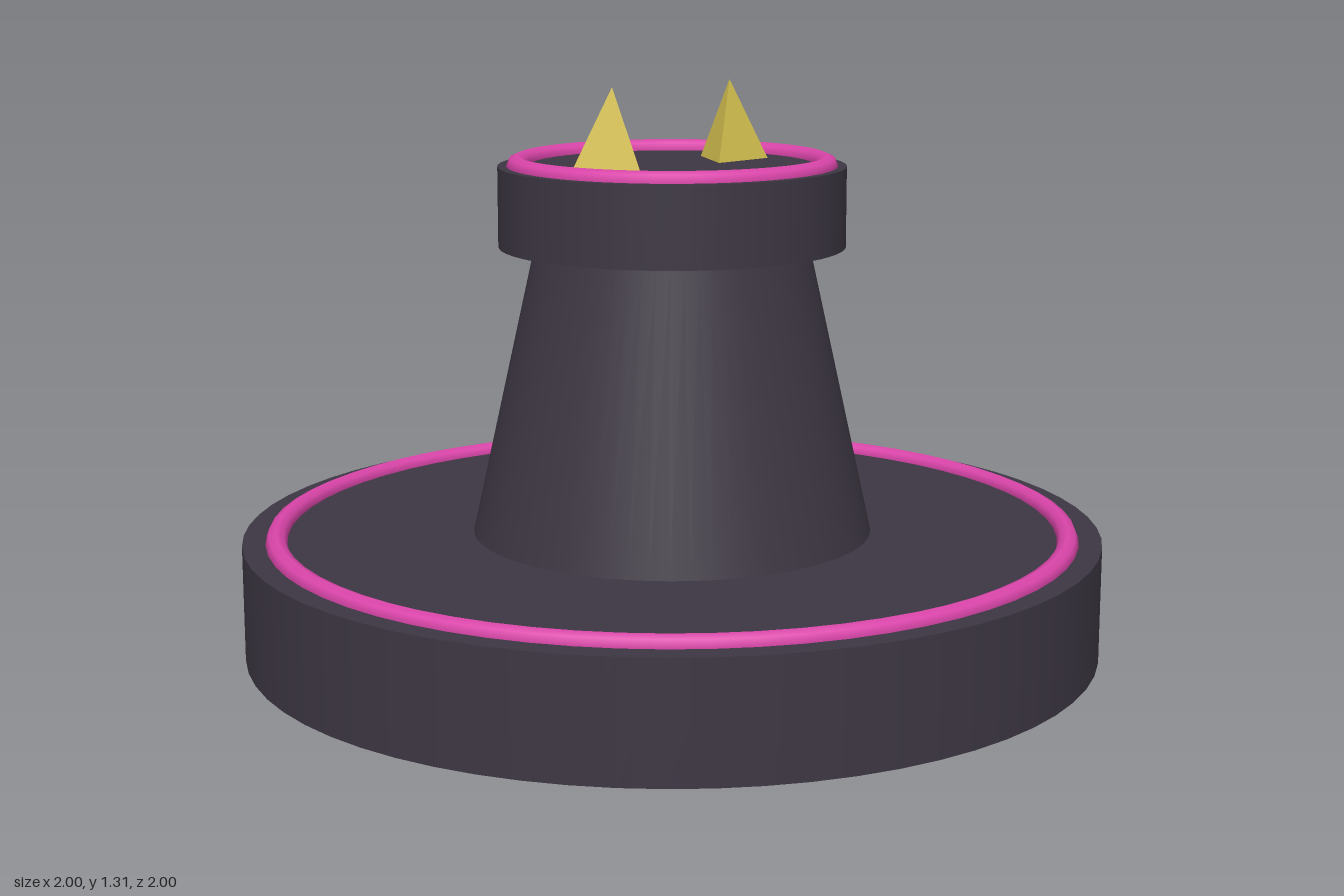
import * as THREE from 'three';

export function createModel() {
  const group = new THREE.Group();
  const material = (name, color, flatShading = false) => {
    const m = new THREE.MeshStandardMaterial({ color, flatShading });
    m.name = name;
    return m;
  };
  const dark = material('dark stone', 0x3d3743);
  const pink = material('pink trim', 0xdb45aa);
  const gold = material('gold', 0xd4c04f, true);

  const add = (name, geometry, mat, x, y) => {
    const mesh = new THREE.Mesh(geometry, mat);
    mesh.name = name;
    mesh.position.set(x, y, 0);
    group.add(mesh);
    return mesh;
  };

  // Round sections stacked from the ground up: [name, top radius, bottom radius, bottom y, top y]
  const sections = [
    ['base', 1, 1, 0, 0.27],
    ['column', 0.317, 0.466, 0.27, 0.94],
    ['cap', 0.4, 0.4, 0.94, 1.125],
  ];
  for (const [name, top, bottom, y0, y1] of sections) {
    add(name, new THREE.CylinderGeometry(top, bottom, y1 - y0, 64), dark, 0, (y0 + y1) / 2);
  }

  // Trim rings half sunk into the upper faces
  for (const [name, radius, y] of [['baseRing', 0.922, 0.27], ['capRing', 0.355, 1.125]]) {
    const ring = new THREE.TorusGeometry(radius, 0.025, 8, 64).rotateX(Math.PI / 2);
    add(name, ring, pink, 0, y);
  }

  // Three-sided spikes pointing opposite ways
  for (const side of [-1, 1]) {
    const spike = add(side < 0 ? 'rightSpike' : 'leftSpike',
      new THREE.ConeGeometry(0.094, 0.187, 3), gold, side * 0.187, 1.2185);
    spike.rotation.y = side < 0 ? 0 : Math.PI;
  }

  return group;
}
